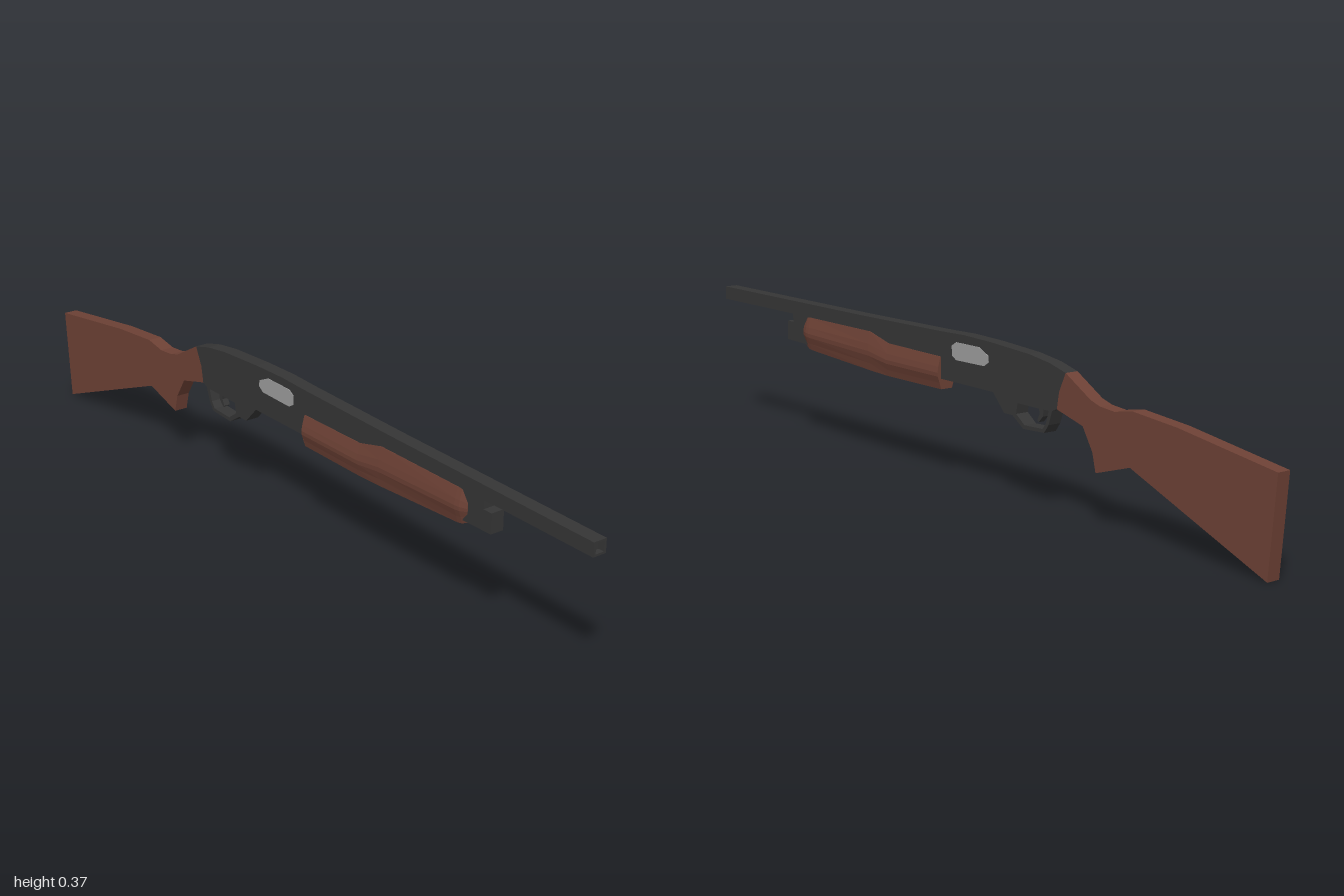
import * as THREE from 'three';

const HALF = 0.017; // half thickness of the flat silhouette parts

const material = (name, color) => {
  const m = new THREE.MeshStandardMaterial({ color, flatShading: true });
  m.name = name;
  return m;
};

const toPath = (pts, Type = THREE.Shape) => new Type(pts.map(([x, y]) => new THREE.Vector2(x, y)));

// Side silhouette extruded evenly about z = 0
function slab(name, pts, mat, half = HALF, hole) {
  const shape = toPath(pts);
  if (hole) shape.holes.push(toPath(hole, THREE.Path));
  const geo = new THREE.ExtrudeGeometry(shape, { depth: half * 2, bevelEnabled: false });
  geo.translate(0, 0, -half);
  const mesh = new THREE.Mesh(geo, mat);
  mesh.name = name;
  return mesh;
}

// Closed loft along x; each station gives x, bottom, top and a width scale
function pumpGeometry(stations) {
  // Height fraction and half width, up the +z side
  const side = [[0, 0.016], [0.2, 0.0205], [0.4, 0.0262], [0.52, 0.027], [0.7, 0.0245], [1, 0.0182]];
  const ring = [...side, ...side.map(([f, w]) => [f, -w]).reverse()];
  const n = ring.length, pos = [], idx = [];
  for (const [x, bottom, top, s] of stations)
    for (const [f, w] of ring) pos.push(x, bottom + (top - bottom) * f, w * s);
  for (let i = 0; i < stations.length - 1; i++)
    for (let j = 0; j < n; j++) {
      const a = i * n + j, b = i * n + (j + 1) % n;
      idx.push(a, a + n, b, b, a + n, b + n);
    }
  const last = (stations.length - 1) * n;
  for (let j = 1; j < n - 1; j++) {
    idx.push(0, j, j + 1);
    idx.push(last, last + j + 1, last + j);
  }
  const geo = new THREE.BufferGeometry();
  geo.setAttribute('position', new THREE.Float32BufferAttribute(pos, 3));
  geo.setIndex(idx);
  // Make sure the faces point outward
  let volume = 0;
  const v = (k) => new THREE.Vector3().fromArray(pos, k * 3);
  for (let k = 0; k < idx.length; k += 3) volume += v(idx[k]).dot(v(idx[k + 1]).cross(v(idx[k + 2])));
  if (volume < 0) geo.setIndex(idx.reverse());
  geo.computeVertexNormals();
  return geo;
}

export function createModel() {
  const wood = material('brown wood', 0x6d4135);
  const metal = material('dark metal', 0x353535);
  const steel = material('pale steel', 0x9c9c9c);
  const group = new THREE.Group();
  group.name = 'shotgun';

  // Butt stock with grip
  group.add(slab('stock', [
    [-1, 0.227], [-0.98, 0], [-0.58, 0.158], [-0.473, 0.126], [-0.462, 0.17], [-0.43, 0.222],
    [-0.345, 0.245], [-0.352, 0.285], [-0.373, 0.33], [-0.42, 0.303], [-0.455, 0.283],
    [-0.485, 0.274], [-0.53, 0.27], [-0.585, 0.28], [-0.72, 0.268],
  ], wood));

  // Receiver and barrel in one outline
  group.add(slab('receiverAndBarrel', [
    [-0.373, 0.33], [-0.352, 0.285], [-0.345, 0.245], [-0.325, 0.237], [-0.21, 0.237],
    [-0.197, 0.207], [-0.165, 0.207], [-0.125, 0.249], [0.62, 0.255], [0.705, 0.257],
    [0.705, 0.305], [0.68, 0.305], [0.68, 0.326], [0.985, 0.326], [0.985, 0.359], [0.38, 0.36],
    [0.06, 0.363], [-0.02, 0.365], [-0.12, 0.362], [-0.25, 0.354], [-0.32, 0.344],
  ], metal));

  // Muzzle rim around a shallow square bore
  const muzzle = slab('muzzle',
    [[-HALF, 0.326], [HALF, 0.326], [HALF, 0.359], [-HALF, 0.359]], metal, 0.0075,
    [[-0.011, 0.331], [-0.011, 0.354], [0.011, 0.354], [0.011, 0.331]]);
  muzzle.rotation.y = Math.PI / 2;
  muzzle.position.x = 0.9925;
  group.add(muzzle);

  // Trigger guard loop
  group.add(slab('triggerGuard', [
    [-0.33, 0.24], [-0.318, 0.205], [-0.303, 0.185], [-0.232, 0.182], [-0.192, 0.208], [-0.205, 0.24],
  ], metal, HALF, [
    [-0.318, 0.238], [-0.212, 0.238], [-0.207, 0.212], [-0.236, 0.191], [-0.298, 0.193], [-0.309, 0.208],
  ]));

  // Curved trigger
  group.add(slab('trigger', [
    [-0.292, 0.24], [-0.288, 0.218], [-0.274, 0.203], [-0.269, 0.207], [-0.277, 0.222], [-0.274, 0.24],
  ], metal, 0.008));

  // Sliding pump grip, wider than the receiver
  const pump = new THREE.Mesh(pumpGeometry([
    [0.067, 0.225, 0.303, 1], [0.27, 0.225, 0.306, 1], [0.345, 0.228, 0.325, 1],
    [0.6, 0.243, 0.326, 1], [0.613, 0.245, 0.325, 0.95], [0.632, 0.254, 0.318, 0.7],
  ]), wood);
  pump.name = 'pumpGrip';
  group.add(pump);

  // Ejection port plates on both sides
  for (const s of [1, -1]) {
    const port = slab('ejectionPort', [
      [-0.11, 0.315], [-0.095, 0.304], [0.008, 0.303], [0.023, 0.312], [0.024, 0.335],
      [0.008, 0.345], [-0.075, 0.345], [-0.108, 0.33],
    ], steel, 0.001);
    port.position.z = s * (HALF + 0.0005);
    group.add(port);
  }
  return group;
}
